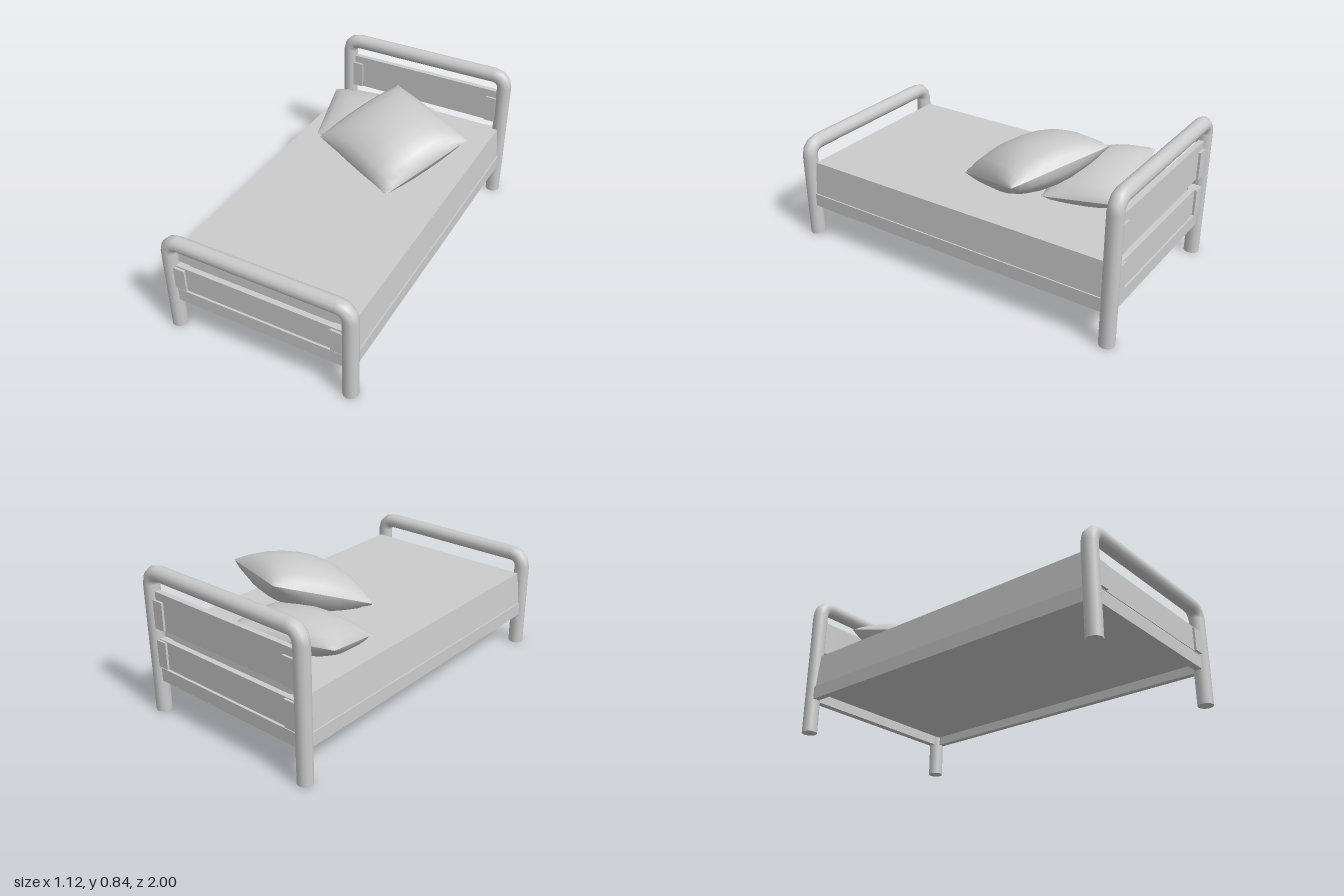
import * as THREE from 'three';

const material = new THREE.MeshStandardMaterial({ color: 0xcccccc });
const POST_X = 0.515, END_Z = 0.957, TUBE = 0.0425, BEND = 0.065;

function add(parent, name, geometry, x = 0, y = 0, z = 0) {
  const mesh = new THREE.Mesh(geometry, material);
  mesh.name = name;
  mesh.position.set(x, y, z);
  parent.add(mesh);
  return mesh;
}

// Box given by its width, bottom, top and depth
function slab(parent, name, width, bottom, top, depth, x = 0, z = 0) {
  return add(parent, name, new THREE.BoxGeometry(width, top - bottom, depth), x, (bottom + top) / 2, z);
}

// Bent tube with two legs, lower rail and panels with corner blocks
function endBoard(name, height, panels) {
  const board = new THREE.Group();
  board.name = name;
  const bendY = height - TUBE - BEND;
  const barX = POST_X - BEND;
  for (const side of [-1, 1]) {
    add(board, 'leg', new THREE.CylinderGeometry(TUBE, TUBE, bendY, 12), side * POST_X, bendY / 2);
    const bend = add(board, 'bend', new THREE.TorusGeometry(BEND, TUBE, 12, 3, Math.PI / 2), side * barX, bendY);
    if (side < 0) bend.rotation.y = Math.PI;
  }
  const bar = new THREE.CylinderGeometry(TUBE, TUBE, barX * 2, 12, 1, true).rotateZ(Math.PI / 2);
  add(board, 'topBar', bar, 0, height - TUBE);
  slab(board, 'lowerRail', 0.97, 0.19, 0.266, 0.04);
  for (const [bottom, top, blockTop] of panels) {
    slab(board, 'panel', 0.96, bottom, top, 0.03);
    for (const side of [-1, 1]) slab(board, 'cornerBlock', 0.07, bottom + 0.002, blockTop, 0.055, side * 0.453);
  }
  return board;
}

// Two bulging sheets that meet at a seam running through four corners
function pillow(name, corners, bulge, floor) {
  const group = new THREE.Group();
  group.name = name;
  const [a, b, c, d] = corners.map(p => new THREE.Vector3(...p));
  const normal = c.clone().sub(a).cross(d.clone().sub(b)).normalize();
  for (const side of [1, -1]) {
    const geometry = new THREE.PlaneGeometry(2, 2, 10, 10);
    const pos = geometry.attributes.position;
    for (let i = 0; i < pos.count; i++) {
      const u = side * Math.sin(pos.getX(i) * Math.PI / 2);
      const v = Math.sin(pos.getY(i) * Math.PI / 2);
      const front = a.clone().lerp(b, (u + 1) / 2);
      const back = d.clone().lerp(c, (u + 1) / 2);
      const puff = Math.sqrt(Math.max(0, (1 - u * u) * (1 - v * v)));
      const p = front.lerp(back, (v + 1) / 2).addScaledVector(normal, side * bulge * puff);
      pos.setXYZ(i, p.x, Math.max(p.y, floor), p.z);
    }
    geometry.computeVertexNormals();
    add(group, side > 0 ? 'upperSheet' : 'lowerSheet', geometry);
  }
  return group;
}

export function createModel() {
  const bed = new THREE.Group();
  bed.name = 'bed';

  const foot = endBoard('footboard', 0.602, [[0.275, 0.42, 0.41]]);
  foot.position.z = END_Z;
  const head = endBoard('headboard', 0.842, [[0.275, 0.435, 0.43], [0.495, 0.7, 0.655]]);
  head.position.z = -END_Z;
  bed.add(foot, head);

  // Side rails
  for (const side of [-1, 1]) slab(bed, 'sideRail', 0.035, 0.19, 0.266, 1.86, side * 0.521);

  // Mattress, slightly narrower at the top
  const mattress = slab(bed, 'mattress', 1.066, 0.24, 0.46, 1.85);
  const pos = mattress.geometry.attributes.position;
  for (let i = 0; i < pos.count; i++) {
    if (pos.getY(i) > 0) pos.setXYZ(i, Math.sign(pos.getX(i)) * 0.517, pos.getY(i), Math.sign(pos.getZ(i)) * 0.91);
  }
  mattress.geometry.computeVertexNormals();

  // Pillow corners run front left, front right, back right, back left as seen from the front
  bed.add(
    pillow('lowerPillow', [[-0.4, 0.49, -0.32], [0.21, 0.5, -0.38], [0.13, 0.54, -0.83], [-0.48, 0.58, -0.7]], 0.11, 0.46),
    pillow('upperPillow', [[-0.3, 0.58, -0.18], [0.25, 0.525, 0.07], [0.515, 0.685, -0.4], [-0.03, 0.76, -0.64]], 0.14, 0.46),
  );
  return bed;
}
